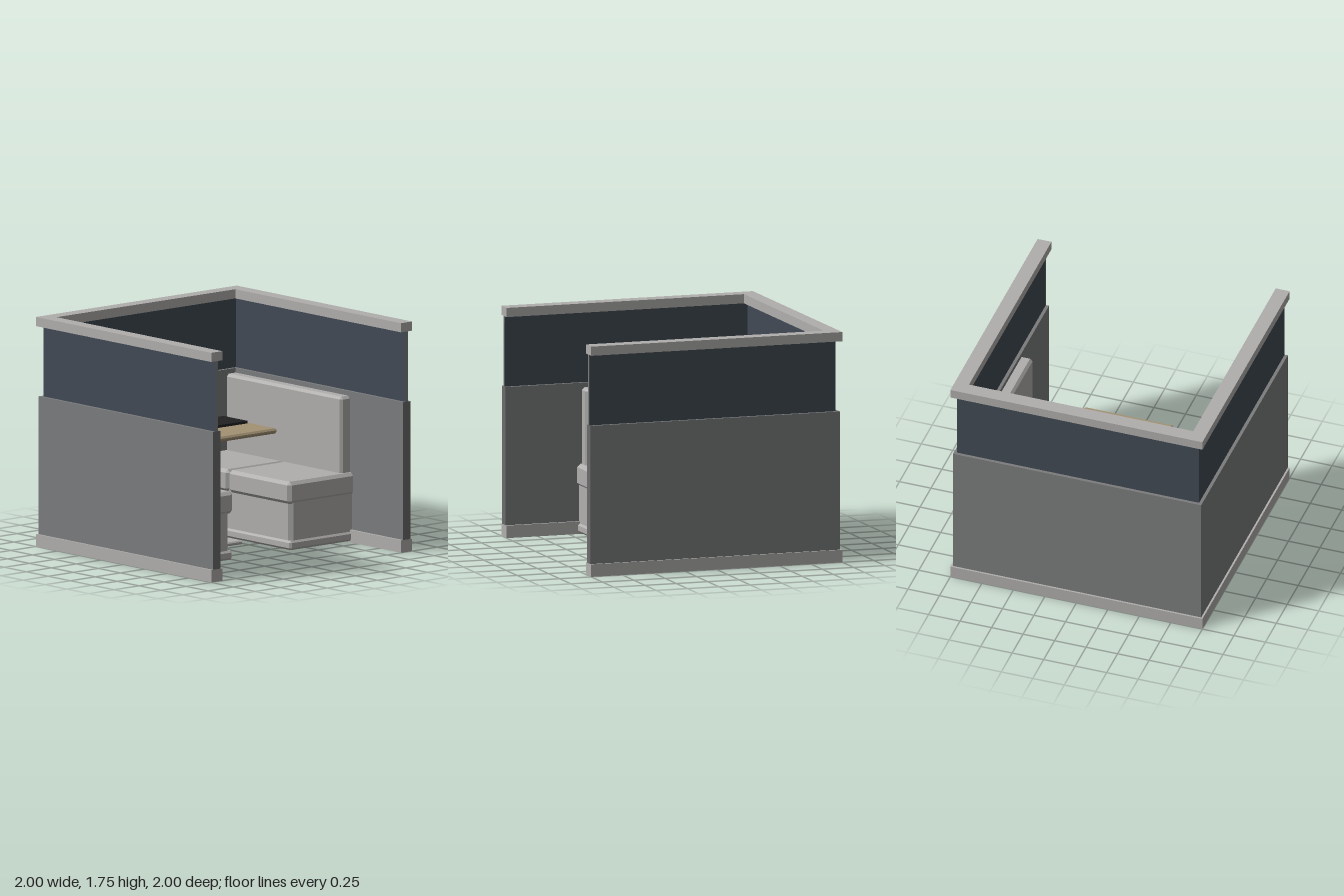
import * as THREE from 'three';
import { ConvexGeometry } from 'three/addons/geometries/ConvexGeometry.js';

const mat = (name, color) => {
  const m = new THREE.MeshStandardMaterial({ color });
  m.name = name;
  return m;
};

// Box given by its extents, with all edges cut off by c
function chamferBox([x0, x1], [y0, y1], [z0, z1], c) {
  const pts = [];
  for (const sx of [0, 1]) for (const sy of [0, 1]) for (const sz of [0, 1]) {
    for (let full = 0; full < 3; full++) {
      const at = (lo, hi, s, axis) => {
        const inset = axis === full ? 0 : c;
        return s ? hi - inset : lo + inset;
      };
      pts.push(new THREE.Vector3(at(x0, x1, sx, 0), at(y0, y1, sy, 1), at(z0, z1, sz, 2)));
    }
  }
  return new ConvexGeometry(pts);
}

function plainBox([x0, x1], [y0, y1], [z0, z1]) {
  return new THREE.BoxGeometry(x1 - x0, y1 - y0, z1 - z0)
    .translate((x0 + x1) / 2, (y0 + y1) / 2, (z0 + z1) / 2);
}

// Three-sided wall layer, open towards +z
function wallLayer(outer, inner, y0, y1) {
  const shape = new THREE.Shape([
    [-outer, -1], [-inner, -1], [-inner, inner], [inner, inner],
    [inner, -1], [outer, -1], [outer, outer], [-outer, outer],
  ].map(([x, y]) => new THREE.Vector2(x, y)));
  return new THREE.ExtrudeGeometry(shape, { depth: y1 - y0, bevelEnabled: false })
    .rotateX(-Math.PI / 2).translate(0, y0, 0);
}

// Octagonal post with flat sides facing the axes
function octagon(halfWidth, y0, y1, x, z) {
  return new THREE.CylinderGeometry(halfWidth / Math.cos(Math.PI / 8), halfWidth / Math.cos(Math.PI / 8), y1 - y0, 8)
    .rotateY(Math.PI / 8).translate(x, (y0 + y1) / 2, z);
}

export function createModel() {
  const light = mat('lightGrey', 0xb0afad);
  light.flatShading = true;
  const grey = mat('wallGrey', 0x7b7c7d);
  const endGrey = mat('panelEndGrey', 0x6b6b6b);
  const blue = mat('slateBlue', 0x414a54);
  const wood = mat('wood', 0xa39274);
  const black = mat('black', 0x222222);

  const model = new THREE.Group();
  model.name = 'diningBooth';
  const add = (parent, name, geometry, material) => {
    const mesh = new THREE.Mesh(geometry, material);
    mesh.name = name;
    parent.add(mesh);
  };

  // Partition: skirting, lower panel, upper panel and top rail
  const walls = new THREE.Group();
  walls.name = 'partition';
  model.add(walls);
  add(walls, 'skirting', wallLayer(1, 0.89, 0, 0.095), light);
  add(walls, 'lowerPanel', wallLayer(0.985, 0.91, 0.095, 1.145), grey);
  add(walls, 'upperPanel', wallLayer(0.96, 0.935, 1.145, 1.68), blue);
  add(walls, 'topRail', wallLayer(1, 0.89, 1.68, 1.75), light);

  for (const s of [1, -1]) {
    const side = s > 0 ? 'left' : 'right';
    const span = (a, b) => (s > 0 ? [a, b] : [-b, -a]);

    // Coloured front ends of the panels
    add(walls, side + 'LowerPanelEnd', plainBox(span(0.91, 0.985), [0.095, 1.145], [0.997, 1.001]), endGrey);
    add(walls, side + 'UpperPanelEnd', plainBox(span(0.935, 0.96), [1.145, 1.68], [0.997, 1.001]), grey);

    // Bench: its outer and rear edges run into the walls
    const bench = new THREE.Group();
    bench.name = side + 'Bench';
    model.add(bench);
    add(bench, 'plinth', chamferBox(span(0.285, 0.945), [0.01, 0.082], [-0.945, 0.43], 0.016), light);
    add(bench, 'body', chamferBox(span(0.3, 0.945), [0.04, 0.41], [-0.945, 0.415], 0.03), light);
    add(bench, 'frontCushion', chamferBox(span(0.275, 0.945), [0.36, 0.53], [-0.275, 0.43], 0.025), light);
    add(bench, 'rearCushion', chamferBox(span(0.275, 0.945), [0.36, 0.53], [-0.945, -0.275], 0.025), light);
    add(bench, 'backrest', chamferBox(span(0.823, 0.945), [0.46, 1.11], [-0.945, 0.393], 0.02), light);
  }

  // Table on a single post
  const table = new THREE.Group();
  table.name = 'table';
  model.add(table);
  add(table, 'tableTop', chamferBox([-0.358, 0.354], [0.865, 0.905], [-0.665, 0.208], 0.014), wood);
  add(table, 'tablePost', octagon(0.052, 0.025, 0.87, 0, -0.225), light);
  add(table, 'tableFoot', chamferBox([-0.238, 0.234], [0, 0.03], [-0.4, -0.05], 0.01), light);

  // Things on the table
  add(table, 'cup', octagon(0.042, 0.903, 1.02, -0.23, -0.118), light);
  add(table, 'tablet', plainBox([-0.055, 0.316], [0.903, 0.925], [-0.368, -0.095]), black);

  return model;
}
